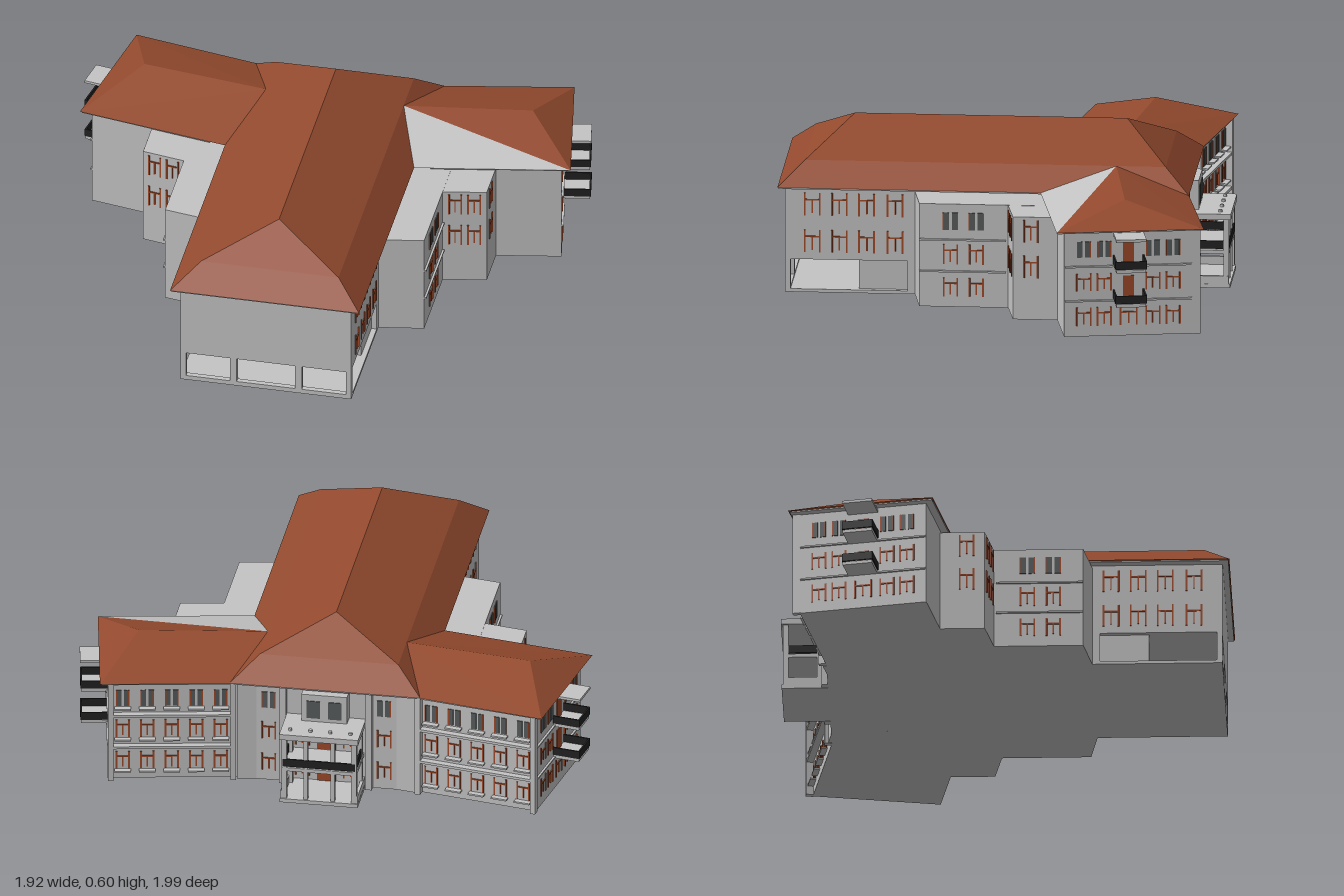
import * as THREE from 'three';

const paint = (name, color, extra = {}) => {
  const m = new THREE.MeshStandardMaterial({ color, ...extra });
  m.name = name;
  return m;
};

export function createModel() {
  const wall = paint('greyWall', 0xc4c4c4);
  const tile = paint('roofTile', 0x934a2e, { side: THREE.DoubleSide });
  const wallSheet = paint('greySheet', 0xc4c4c4, { side: THREE.DoubleSide });
  const wood = paint('windowFrame', 0xa04a28);
  const black = paint('balconyRail', 0x222222);
  const glass = paint('darkGlass', 0x585c5c);

  const model = new THREE.Group();
  model.name = 'building';
  // the building's long axis is turned in plan
  const site = new THREE.Group();
  site.name = 'turnedBuilding';
  site.rotation.y = 0.661;
  site.position.set(0.046, 0, -0.036);
  model.add(site);

  const add = (parent, name, geo, mat) => {
    const m = new THREE.Mesh(geo, mat);
    m.name = name;
    parent.add(m);
    return m;
  };
  const box = (parent, name, mat, w, h, d, x, y, z) => {
    const m = add(parent, name, new THREE.BoxGeometry(w, h, d), mat);
    m.position.set(x, y, z);
    return m;
  };
  // upright prism over a plan outline of [x, z] points
  const prism = (parent, name, pts, y0, y1, mat = wall) => {
    const shape = new THREE.Shape(pts.map(([x, z]) => new THREE.Vector2(x, -z)));
    const geo = new THREE.ExtrudeGeometry(shape, { depth: y1 - y0, bevelEnabled: false });
    geo.rotateX(-Math.PI / 2).translate(0, y0, 0);
    return add(parent, name, geo, mat);
  };
  const rect = (x0, x1, z0, z1) => [[x0, z0], [x1, z0], [x1, z1], [x0, z1]];
  // flat roof faces, every one turned to look upward
  const roofFaces = (parent, name, faces, mat) => {
    const out = [];
    for (const f of faces) {
      for (let i = 1; i < f.length - 1; i++) {
        const [a, b, c] = [f[0], f[i], f[i + 1]];
        const up = (b[2] - a[2]) * (c[0] - a[0]) - (b[0] - a[0]) * (c[2] - a[2]) > 0;
        out.push(...a, ...(up ? b : c), ...(up ? c : b));
      }
    }
    const geo = new THREE.BufferGeometry();
    geo.setAttribute('position', new THREE.Float32BufferAttribute(out, 3));
    geo.computeVertexNormals();
    add(parent, name, geo, mat);
  };
  // a wall plane: local x runs along it, local z points out of it
  const facade = (parent, name, x, z, yaw) => {
    const g = new THREE.Group();
    g.name = name;
    g.position.set(x, 0, z);
    g.rotation.y = yaw;
    parent.add(g);
    return g;
  };
  // wooden frame: jambs, transom and a short mullion
  const frameWindow = (g, x, y, w = 0.05, h = 0.075) => {
    for (const s of [-1, 1]) box(g, 'windowJamb', wood, 0.006, h, 0.008, x + s * w / 2, y, 0);
    box(g, 'windowTransom', wood, w, 0.005, 0.008, x, y + h * 0.2, 0);
    box(g, 'windowMullion', wood, 0.005, h * 0.6, 0.008, x, y - h * 0.1, 0);
  };
  // tall dark panes with a wooden edge
  const paneWindow = (g, x, y, w = 0.05, h = 0.065) => {
    for (const s of [-1, 1]) {
      box(g, 'windowPane', glass, w * 0.36, h, 0.006, x + s * w * 0.27, y, 0);
      box(g, 'windowEdge', wood, 0.004, h, 0.009, x + s * w * 0.48, y, 0);
    }
  };

  // main hall: upper storeys, ground floor and porch slab
  prism(site, 'mainUpperStoreys', rect(-0.32, 0.32, -0.455, 1.0), 0.125, 0.402);
  prism(site, 'mainGroundFloor', rect(-0.32, 0.32, -0.455, 0.55), 0, 0.125);
  prism(site, 'porchFloor', rect(-0.32, 0.32, 0.5, 1.0), 0, 0.012);

  // open ground floor at the end, with three openings
  const screen = new THREE.Shape([[-0.32, 0], [0.32, 0], [0.32, 0.125], [-0.32, 0.125]]
    .map((p) => new THREE.Vector2(...p)));
  for (const [a, b] of [[-0.3, -0.135], [-0.11, 0.11], [0.135, 0.3]]) {
    screen.holes.push(new THREE.Path([[a, 0.018], [a, 0.118], [b, 0.118], [b, 0.018]]
      .map((p) => new THREE.Vector2(...p))));
  }
  add(site, 'porchScreen', new THREE.ExtrudeGeometry(screen, { depth: 0.02, bevelEnabled: false }), wall)
    .position.z = 0.98;

  // main roof: steep lower skirt, gentler upper slopes
  const eave = 0.404, mid = 0.486, top = 0.6;
  const ring = (x, z0, z1, y) => [[-x, y, z0], [x, y, z0], [x, y, z1], [-x, y, z1]];
  const low = ring(0.355, -0.49, 1.026, eave);
  const knee = ring(0.258, -0.397, 0.931, mid);
  const r0 = [0, top, -0.235], r1 = [0, top, 0.767];
  const mainFaces = low.map((p, i) => [p, low[(i + 1) % 4], knee[(i + 1) % 4], knee[i]]);
  mainFaces.push([knee[0], knee[1], r0], [knee[1], knee[2], r1, r0],
    [knee[2], knee[3], r1], [knee[3], knee[0], r0, r1]);
  roofFaces(site, 'mainRoof', mainFaces, tile);
  prism(site, 'mainSoffit', rect(-0.352, 0.352, -0.487, 1.022), 0.398, 0.403);

  for (const side of [-1, 1]) {
    const flip = (pts) => pts.map(([x, z]) => [x * side, z]);

    // recessed wall beside the porch
    box(site, 'porchSideWall', wall, 0.02, 0.125, 0.19, side * 0.29, 0.0625, 0.635);

    // stepped annexes between hall and wing
    prism(site, 'longAnnex', flip([[0.3, 0.525], [0.486, 0.493], [0.486, 0], [0.3, 0]]), 0, 0.39);
    prism(site, 'shortAnnex', flip([[0.3, 0.2], [0.645, 0.136], [0.645, -0.05], [0.3, -0.05]]), 0, 0.389);

    // hall side windows
    const hall = facade(site, 'hallSideWindows', side * 0.32, 0.745, side * Math.PI / 2);
    for (const x of [-0.155, -0.055, 0.045, 0.15]) for (const y of [0.195, 0.335]) frameWindow(hall, x, y, 0.055, 0.085);
    // long annex windows
    const annex = facade(site, 'longAnnexWindows', side * 0.486, 0.333, side * Math.PI / 2);
    for (const x of [-0.045, 0.05]) {
      frameWindow(annex, x, 0.075, 0.05, 0.07);
      frameWindow(annex, x, 0.2, 0.05, 0.075);
      paneWindow(annex, x, 0.325, 0.055, 0.065);
    }
    for (const y of [0.135, 0.255]) box(annex, 'annexBand', wall, 0.32, 0.006, 0.016, 0, y, 0);
    // short annex windows
    const flank = facade(site, 'shortAnnexFlank', side * 0.645, 0.07, side * Math.PI / 2);
    const face = facade(site, 'shortAnnexFace', side * 0.565, 0.151, side * 0.183);
    for (const y of [0.2, 0.335]) {
      frameWindow(flank, 0, y, 0.05, 0.085);
      for (const x of [-0.035, 0.035]) frameWindow(face, x, y, 0.045, 0.085);
    }

    // wing, bent back from the hall
    const wing = new THREE.Group();
    wing.name = side > 0 ? 'leftWing' : 'rightWing';
    wing.rotation.y = side * 0.183;
    site.add(wing);
    prism(wing, 'wingWalls', flip(rect(0.28, 0.88, -0.385, 0.09)), 0, 0.402);
    prism(wing, 'wingSoffit', flip(rect(0.4, 0.908, -0.416, 0.117)), 0.398, 0.403);

    // wing roof, with one plain grey panel on one side
    const P = (x, y, z) => [x * side, y, z];
    const A = P(0.822, eave, -0.581), B = P(0.35, eave, -0.49), C = P(0.259, mid, -0.215);
    const D = P(0.729, mid, -0.283), E = P(0.921, eave, -0.047), F = P(0.352, eave, 0.057);
    roofFaces(site, 'wingRoof', [[A, B, C, D], [A, D, E], [D, C, E]], tile);
    roofFaces(site, 'wingRoofPanel', [[C, E, F]], side > 0 ? wallSheet : tile);

    // rear windows, floor bands and pilasters
    const rear = facade(wing, 'wingRear', side * 0.65, -0.385, Math.PI);
    for (let i = 0; i < 5; i++) {
      const x = -0.18 + i * 0.09;
      frameWindow(rear, x, 0.075, 0.046, 0.07);
      frameWindow(rear, x, 0.205, 0.046, 0.07);
      paneWindow(rear, x, 0.33, 0.046, 0.065);
      for (const y of [0.034, 0.163, 0.29]) box(rear, 'windowSill', wall, 0.06, 0.006, 0.024, x, y, 0.01);
    }
    for (const y of [0.135, 0.265]) box(rear, 'floorBand', wall, 0.47, 0.01, 0.03, 0, y, 0.01);
    for (const x of [-0.225, 0.225]) box(rear, 'pilaster', wall, 0.02, 0.4, 0.03, x, 0.2, 0.012);
    box(rear, 'cornerBlock', wall, 0.09, 0.4, 0.03, side * 0.285, 0.2, 0.0);

    // wing end windows and balconies
    const end = facade(wing, 'wingEnd', side * 0.88, -0.1475, side * Math.PI / 2);
    for (const x of [-0.165, -0.09, 0.09, 0.165]) {
      frameWindow(end, x, 0.075, 0.05, 0.07);
      frameWindow(end, x, 0.205, 0.05, 0.065);
      paneWindow(end, x, 0.33, 0.05, 0.06);
    }
    frameWindow(end, 0, 0.075, 0.06, 0.07);
    for (const y of [0.135, 0.265]) {
      box(end, 'floorBand', wall, 0.47, 0.006, 0.016, 0, y, 0);
      box(end, 'balconyDoor', wood, 0.04, 0.085, 0.008, 0, y + 0.05, 0);
      box(end, 'balconySlab', wall, 0.11, 0.012, 0.1, 0, y + 0.003, 0.05);
      box(end, 'balconyFrontRail', black, 0.114, 0.03, 0.006, 0, y + 0.026, 0.1);
      for (const s of [-1, 1]) box(end, 'balconySideRail', black, 0.006, 0.03, 0.1, s * 0.055, y + 0.026, 0.05);
    }
    box(end, 'balconyCanopy', wall, 0.112, 0.01, 0.104, 0, 0.385, 0.052);
  }

  // rear entrance front
  const front = facade(site, 'entranceFront', 0, -0.455, Math.PI);
  for (const s of [-1, 1]) {
    frameWindow(front, s * 0.215, 0.075, 0.05, 0.07);
    frameWindow(front, s * 0.215, 0.205, 0.05, 0.07);
    paneWindow(front, s * 0.215, 0.33, 0.05, 0.065);
    box(front, 'frontPilaster', wall, 0.025, 0.4, 0.025, s * 0.16, 0.2, 0.01);
    // porch columns and low side walls
    for (const z of [0.03, 0.155]) box(front, 'porchColumn', wall, 0.02, 0.26, 0.02, s * 0.13, 0.13, z);
    box(front, 'porchInnerColumn', wall, 0.016, 0.26, 0.016, s * 0.05, 0.13, 0.155);
    box(front, 'porchLowWall', wall, 0.012, 0.045, 0.16, s * 0.138, 0.0225, 0.085);
    box(front, 'porchSideRail', black, 0.006, 0.03, 0.14, s * 0.135, 0.162, 0.085);
    box(front, 'upperPanel', glass, 0.05, 0.07, 0.006, s * 0.04, 0.33, 0.05);
    for (const y of [0.07, 0.195]) frameWindow(front, s * 0.09, y, 0.05, 0.08);
  }
  box(front, 'porchStep', wall, 0.29, 0.015, 0.17, 0, 0.0075, 0.085);
  box(front, 'porchBalcony', wall, 0.28, 0.014, 0.165, 0, 0.135, 0.083);
  box(front, 'porchFrontRail', black, 0.27, 0.03, 0.006, 0, 0.162, 0.163);
  box(front, 'porchCanopy', wall, 0.294, 0.022, 0.173, 0, 0.27, 0.0865);
  box(front, 'upperBay', wall, 0.17, 0.11, 0.05, 0, 0.335, 0.025);
  for (const y of [0.06, 0.19]) box(front, 'entranceDoor', wood, 0.07, 0.09, 0.008, 0, y, 0);
  for (const x of [-0.112, -0.037, 0.037, 0.112]) {
    add(front, 'canopyKnob', new THREE.CylinderGeometry(0.007, 0.007, 0.01, 12), wall).position.set(x, 0.285, 0.132);
  }
  return model;
}
